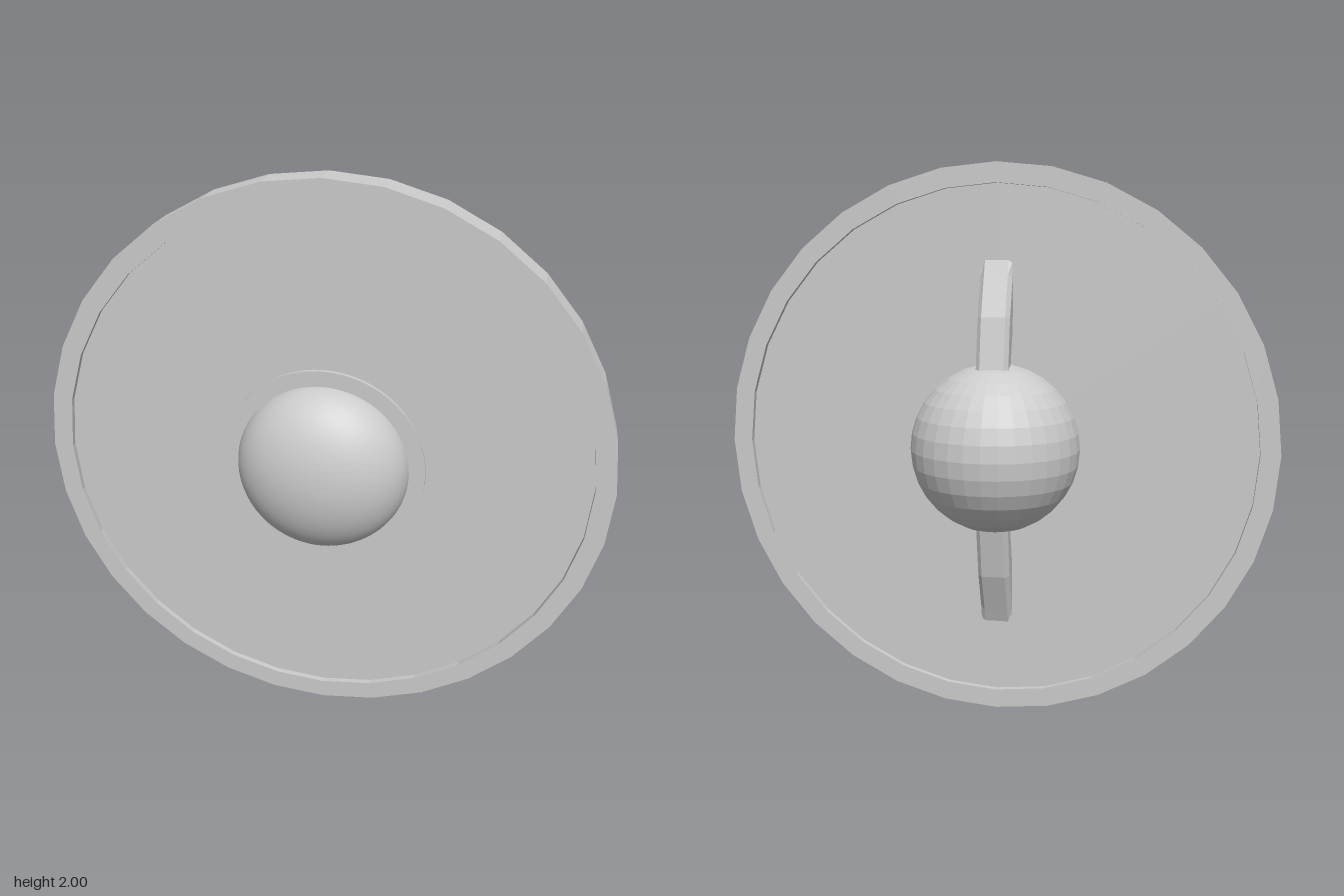
import * as THREE from 'three';

const smooth = new THREE.MeshStandardMaterial({ color: 0xcccccc });
const faceted = new THREE.MeshStandardMaterial({ color: 0xcccccc, flatShading: true });

export function createModel() {
  const model = new THREE.Group();
  const add = (name, geometry, material, z = 0) => {
    const mesh = new THREE.Mesh(geometry, material);
    mesh.name = name;
    mesh.position.set(0, 1, z);
    model.add(mesh);
    return mesh;
  };

  // Faceted outer rim, a rectangular section turned about the z axis
  const section = [[0.93, 0.01], [1, 0.01], [1, 0.13], [0.93, 0.13], [0.93, 0.01]];
  const rim = new THREE.LatheGeometry(section.map(([r, z]) => new THREE.Vector2(r, z)), 32);
  add('rim', rim.rotateX(Math.PI / 2), faceted);

  // Panel slightly recessed between both faces of the rim
  const panel = new THREE.CylinderGeometry(0.94, 0.94, 0.08, 32);
  add('panel', panel.rotateX(Math.PI / 2), faceted, 0.07);

  // Thin collar and smooth flattened dome on the front
  const collar = new THREE.CylinderGeometry(0.36, 0.36, 0.03, 64);
  add('bossCollar', collar.rotateX(Math.PI / 2), smooth, 0.11);
  const dome = new THREE.SphereGeometry(1, 48, 32).scale(0.305, 0.305, 0.195);
  add('frontBoss', dome, smooth, 0.11);

  // Faceted ball behind the panel
  add('backBoss', new THREE.SphereGeometry(0.305, 32, 16), faceted);

  // Arched grip with chamfered edges; profile is [distance behind, height]
  const outer = [[-0.04, 0.69], [-0.01, 0.615], [0.05, 0.47], [0.09, 0.28], [0.1, 0]];
  const inner = [[-0.04, 0.42], [0.01, 0.28], [0.03, 0]];
  const mirrored = (half) => [
    ...half,
    ...half.slice(0, -1).reverse().map(([x, y]) => [x, -y]),
  ];
  const outline = [...mirrored(outer), ...mirrored(inner).reverse()];
  const arch = new THREE.Shape(outline.map(([x, y]) => new THREE.Vector2(x, y)));
  const grip = new THREE.ExtrudeGeometry(arch, {
    depth: 0.085, bevelEnabled: true, bevelSegments: 1,
    bevelThickness: 0.015, bevelSize: 0.015, bevelOffset: -0.015,
  });
  grip.translate(0, 0, -0.0425).rotateY(Math.PI / 2);
  add('handGrip', grip, faceted);

  return model;
}
